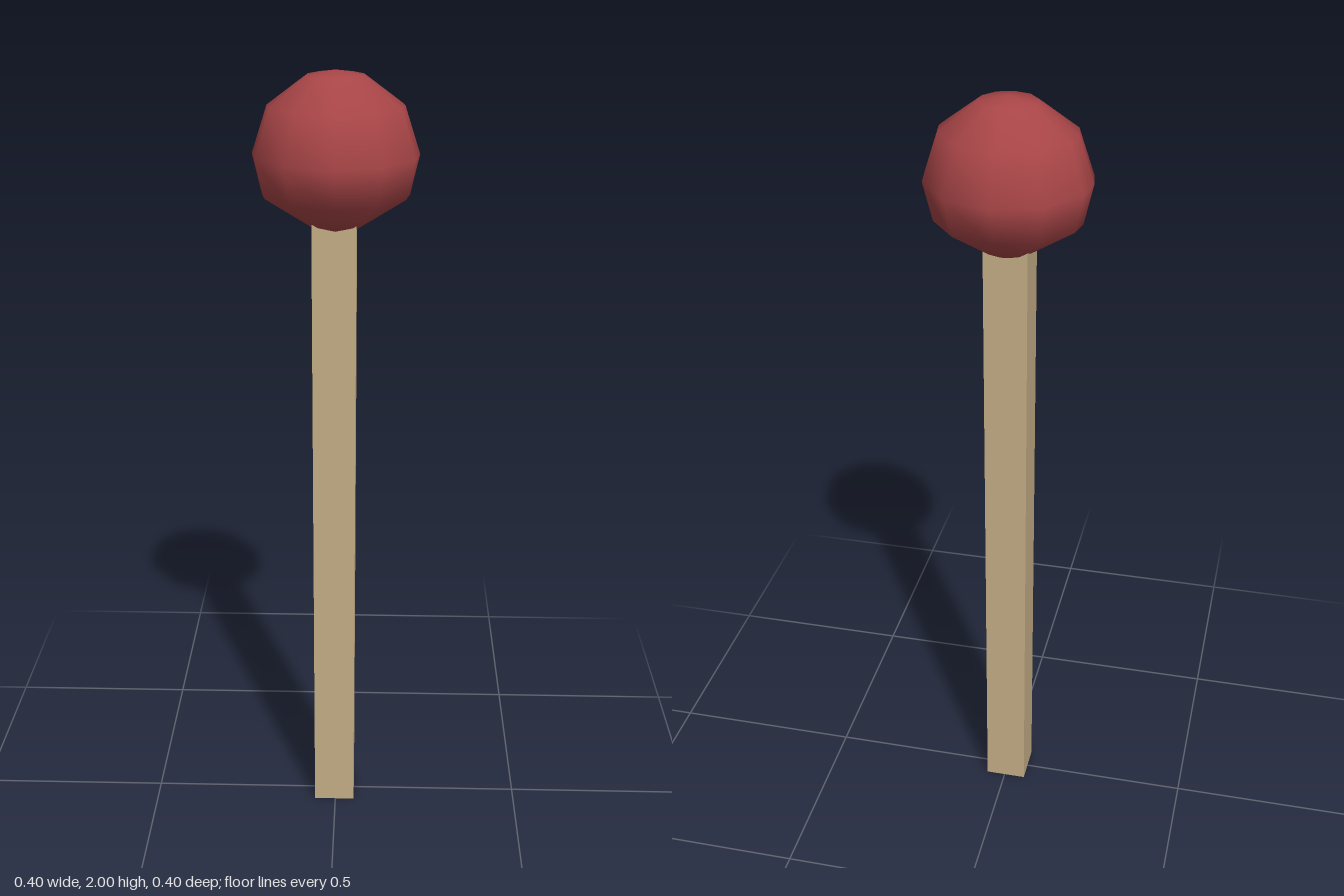
import * as THREE from 'three';
import { mergeVertices } from 'three/addons/utils/BufferGeometryUtils.js';

const HEAD_Y = 1.8;

// Faceted ball: a 12-sided lathe with unevenly spaced sides and a flattened underside
function headGeometry() {
  const profile = [
    [0, -0.172], [0.06, -0.17], [0.178, -0.092], [0.2, 0.005],
    [0.163, 0.119], [0.07, 0.188], [0, 0.2],
  ].map(([r, y]) => new THREE.Vector2(r, y));
  const lathe = new THREE.LatheGeometry(profile, 12);

  // Spread the side angles, mirrored in every quarter
  const spread = [0, 34.6, 70.4, 90].map(THREE.MathUtils.degToRad);
  const pos = lathe.attributes.position;
  for (let i = 0; i < pos.count; i++) {
    const x = pos.getX(i), y = pos.getY(i), z = pos.getZ(i);
    const r = Math.hypot(x, z);
    const step = Math.round(Math.atan2(Math.abs(x), Math.abs(z)) / (Math.PI / 6));
    const a = spread[step];
    const sx = Math.abs(x) < 1e-6 ? 0 : Math.sign(x);
    const sz = Math.abs(z) < 1e-6 ? 0 : Math.sign(z);
    // Slightly narrower front to back away from the equator
    const depth = Math.abs(y) > 0.05 ? 0.95 : 1;
    pos.setXYZ(i, sx * r * Math.sin(a), y, sz * r * Math.cos(a) * depth);
  }

  // Weld the seam so the shading runs smoothly all round
  lathe.deleteAttribute('normal');
  lathe.deleteAttribute('uv');
  const welded = mergeVertices(lathe, 1e-4);
  welded.computeVertexNormals();
  return welded;
}

export function createModel() {
  const group = new THREE.Group();
  group.name = 'matchstick';

  // Square wooden stick, running up into the head
  const stick = new THREE.Mesh(
    new THREE.BoxGeometry(0.108, 1.7, 0.108),
    new THREE.MeshStandardMaterial({ color: 0xc4ad85 })
  );
  stick.name = 'stick';
  stick.position.set(-0.003, 0.85, 0.003);
  group.add(stick);

  // Red head
  const head = new THREE.Mesh(
    headGeometry(),
    new THREE.MeshStandardMaterial({ color: 0xa84547 })
  );
  head.name = 'head';
  head.position.y = HEAD_Y;
  group.add(head);

  return group;
}
